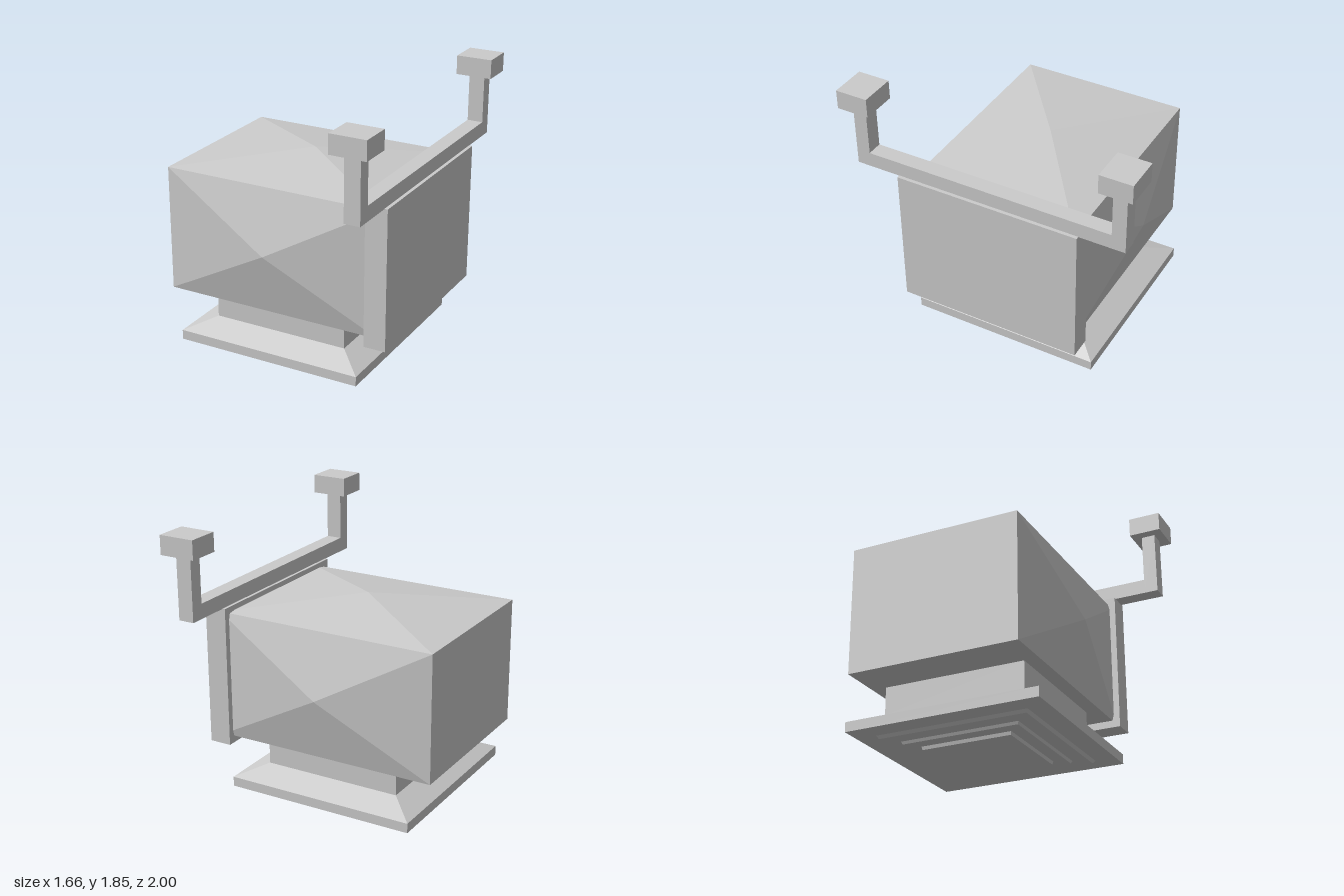
import * as THREE from 'three';
import { ConvexGeometry } from 'three/addons/geometries/ConvexGeometry.js';

const material = new THREE.MeshStandardMaterial({ color: 0xcccccc, flatShading: true });
const CX = -0.0625; // centre line of the body and its base

function add(group, name, geometry) {
  const mesh = new THREE.Mesh(geometry, material);
  mesh.name = name;
  group.add(mesh);
  return mesh;
}

// Box given by its extents on each axis
function block(group, name, [x0, x1], [y0, y1], [z0, z1]) {
  const mesh = add(group, name, new THREE.BoxGeometry(x1 - x0, y1 - y0, z1 - z0));
  mesh.position.set((x0 + x1) / 2, (y0 + y1) / 2, (z0 + z1) / 2);
  return mesh;
}

// Rectangular frustum on the centre line: half sizes [x, z] at bottom and top
function frustum(group, name, y0, y1, bottom, top) {
  const geometry = new THREE.BoxGeometry(2, y1 - y0, 2);
  const p = geometry.attributes.position;
  for (let i = 0; i < p.count; i++) {
    const [hx, hz] = p.getY(i) > 0 ? top : bottom;
    p.setX(i, p.getX(i) * hx);
    p.setZ(i, p.getZ(i) * hz);
  }
  geometry.computeVertexNormals();
  add(group, name, geometry).position.set(CX, (y0 + y1) / 2, 0);
}

export function createModel() {
  const model = new THREE.Group();
  model.name = 'model';

  // Body: a box whose top, front and back rise to shallow pyramids
  const hx = 0.7675, hz = 0.578, y0 = 0.388, y1 = 1.248, midY = (y0 + y1) / 2;
  const points = [
    new THREE.Vector3(CX, 1.341, 0),
    new THREE.Vector3(CX, midY, 0.688),
    new THREE.Vector3(CX, midY, -0.688),
  ];
  for (const x of [CX - hx, CX + hx])
    for (const y of [y0, y1])
      for (const z of [-hz, hz]) points.push(new THREE.Vector3(x, y, z));
  add(model, 'body', new ConvexGeometry(points));

  // Side panel, with the handle bar along its top edge
  block(model, 'sidePanel', [0.63, 0.78], [0.34, 1.292], [-0.63, 0.63]);
  block(model, 'handleBar', [0.65, 0.757], [1.29, 1.39], [-0.845, 0.845]);
  for (const s of [-1, 1]) {
    const end = s > 0 ? 'Front' : 'Back';
    const span = (a, b) => (s > 0 ? [a, b] : [-b, -a]);
    block(model, 'post' + end, [0.65, 0.757], [1.29, 1.722], span(0.845, 0.938));
    block(model, 'cap' + end, [0.582, 0.826], [1.72, 1.848], span(0.782, 1));
  }

  // Neck and flared base
  block(model, 'neck', [CX - 0.478, CX + 0.478], [0.2, y0 + 0.002], [-0.48, 0.48]);
  frustum(model, 'baseFlare', 0.126, 0.2, [0.655, 0.655], [0.478, 0.48]);
  frustum(model, 'baseSlab', 0.06, 0.126, [0.655, 0.655], [0.655, 0.655]);

  // Stepped foot under the base
  const tiers = [
    [0.04, 0.06, 0.502, 0.516],
    [0.022, 0.04, 0.395, 0.403],
    [0, 0.022, 0.305, 0.31],
  ];
  tiers.forEach(([b, t, lower, upper], i) =>
    frustum(model, 'footTier' + (i + 1), b, t, [lower, lower], [upper, upper]));

  return model;
}
